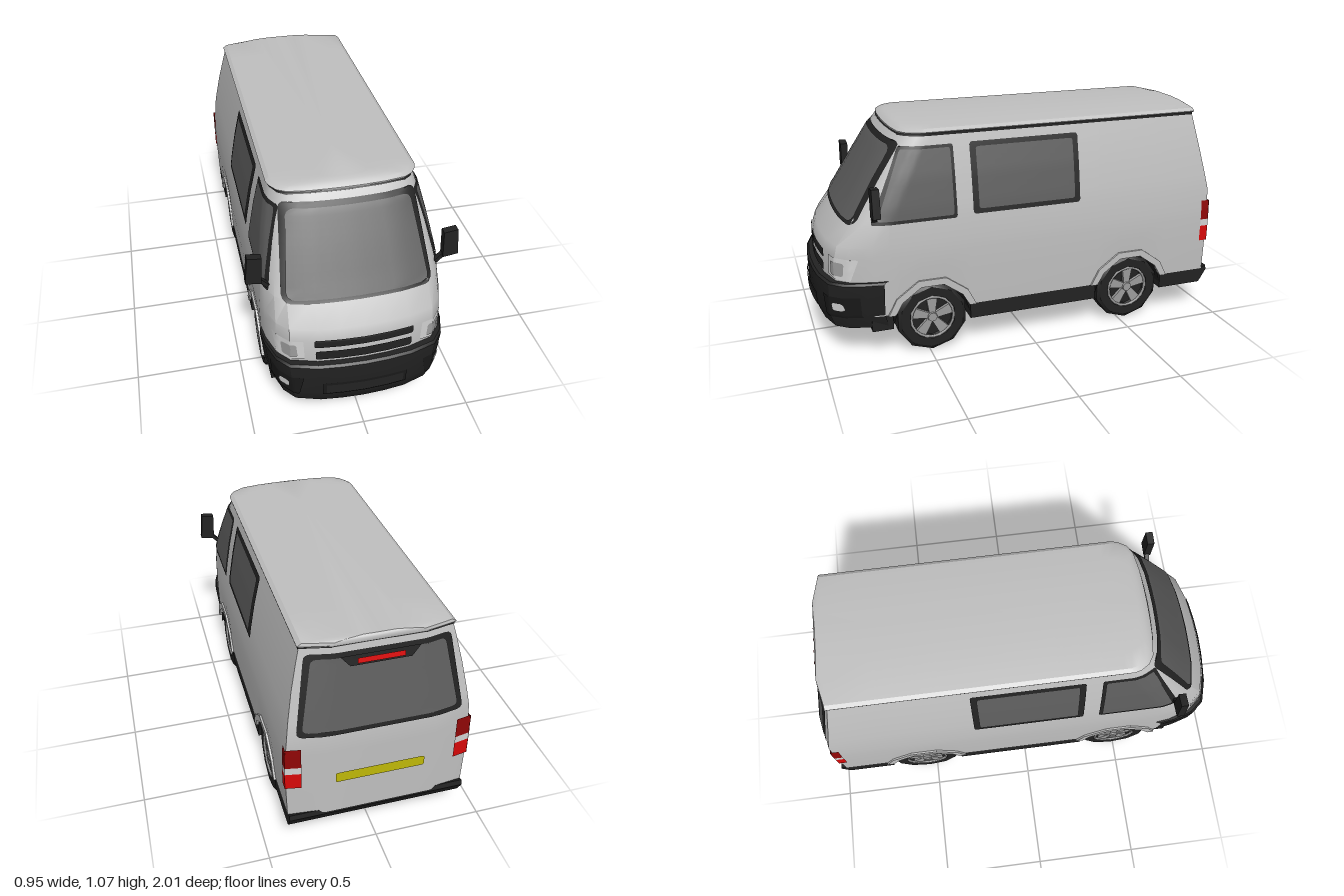
import * as THREE from 'three';
import { toCreasedNormals } from 'three/addons/utils/BufferGeometryUtils.js';

const mat = (name, color) => new THREE.MeshStandardMaterial({ name, color, side: THREE.DoubleSide });
const lerp = THREE.MathUtils.lerp;

// Levels: [height, half width, front z, rear z, strength of nose curve]
const BODY = [
  [0.21, 0.405, 0.965, -1, 1], [0.38, 0.41, 0.965, -1, 1], [0.5, 0.41, 0.963, -1, 1],
  [0.55, 0.408, 0.945, -1, 0.9], [0.65, 0.4, 0.86, -1, 0.65], [0.72, 0.39, 0.815, -0.985, 0.6],
  [0.85, 0.367, 0.735, -0.957, 0.57], [0.97, 0.34, 0.66, -0.932, 0.53], [1.03, 0.325, 0.615, -0.92, 0.5],
];
const GASKET = [[1.025, 0.329, 0.618, -0.92, 0.5], [1.037, 0.329, 0.61, -0.92, 0.5]];
const ROOF = [
  [1.035, 0.326, 0.61, -0.925, 0.4], [1.042, 0.334, 0.61, -0.928, 0.4],
  [1.055, 0.315, 0.595, -0.928, 0.4], [1.062, 0.24, 0.58, -0.925, 0.4], [1.068, 0.12, 0.56, -0.92, 0.3],
];
const BUMPER = [
  [0.125, 0.335, 0.95, 0, 0.93], [0.15, 0.385, 0.975, 0, 0.97], [0.22, 0.402, 1, 0, 1],
  [0.375, 0.42, 1, 0, 1], [0.385, 0.416, 0.99, 0, 1], [0.387, 0.39, 0.93, 0, 1],
];
// Plan curve of nose and tail: set-back against the fraction of half width
const NOSE = [[0, 0], [0.25, 0.004], [0.5, 0.015], [0.78, 0.05], [0.9, 0.11], [0.975, 0.21], [1, 0.29]];
const TAIL = [[0, 0], [0.6, 0], [1, 0.03]];
const WHEEL_Z = [0.485, -0.54], WHEEL_Y = 0.165, ARCH = 0.185;

function interp(table, v, a = 0, b = 1) {
  let i = 1;
  while (i < table.length - 1 && v > table[i][a]) i++;
  const p = table[i - 1], q = table[i];
  return lerp(p[b], q[b], THREE.MathUtils.clamp((v - p[a]) / (q[a] - p[a]), 0, 1));
}
const at = (levels, y) => [1, 2, 3, 4].map((c) => interp(levels, y, 0, c));

// Projections on to the shell
const onFront = (levels, gap) => (x, y) => {
  const [w, f, , k] = at(levels, y);
  return [x, y, f - k * interp(NOSE, Math.abs(x) / w) + gap];
};
const onRear = (gap) => (x, y) => {
  const [w, , r] = at(BODY, y);
  return [x, y, r + interp(TAIL, Math.abs(x) / w) - gap];
};
const onSide = (s, gap) => (z, y) => {
  const [w, f, , k] = at(BODY, y);
  return [s * (w * interp(NOSE, (f - z) / k, 1, 0) + gap), y, z];
};

function build(points, index) {
  const g = new THREE.BufferGeometry();
  g.setAttribute('position', new THREE.Float32BufferAttribute(points.flat(), 3));
  g.setIndex(index);
  return toCreasedNormals(g, 0.5);
}

// Thin four-cornered plate with rounded corners, laid on a projection
function patch([bl, br, tr, tl], project, ru = 0.08, rv = 0.12) {
  const pts = [], idx = [], N = 16;
  for (let j = 0; j <= N; j++) {
    const v = Math.sin((j / N - 0.5) * Math.PI);
    const d = Math.max(0, (Math.abs(v) - 1 + rv) / rv);
    const e = 1 - ru * (1 - Math.sqrt(Math.max(0, 1 - d * d)));
    for (let i = 0; i <= N; i++) {
      const u = ((i / N) * 2 - 1) * e * 0.5 + 0.5, h = v * 0.5 + 0.5;
      pts.push(project(...[0, 1].map((c) => lerp(lerp(bl[c], br[c], u), lerp(tl[c], tr[c], u), h))));
      if (i < N && j < N) {
        const a = j * (N + 1) + i, b = a + N + 1;
        idx.push(a, a + 1, b + 1, a, b + 1, b);
      }
    }
  }
  return build(pts, idx);
}

// Wheel opening corners, as [z, height of the lower edge]
const archNodes = WHEEL_Z.flatMap((zc) => [0, 36, 72, 108, 144, 180].map((d) => {
  const a = THREE.MathUtils.degToRad(d);
  return [zc + ARCH * Math.cos(a), Math.max(0.21, WHEEL_Y + ARCH * Math.sin(a))];
}));

// Horizontal cross-sections joined upwards; noseOnly leaves the back open
function loft(levels, { noseOnly = false, arches = false } = {}) {
  const rings = levels.map(([y, w, f, r, k]) => {
    const half = NOSE.map(([t, d]) => [t * w, y, f - k * d]);
    if (!noseOnly) {
      const z0 = f - 0.29 * k, z1 = r + 0.03;
      for (const [z, edge] of archNodes) {
        const low = arches && y < 0.5 ? edge + (y - 0.21) * (0.5 - edge) / 0.29 : y;
        half.push([w, low, lerp(z0, z1, (0.675 - z) / 1.645)]);
      }
      half.push([w, y, z1], [0.6 * w, y, r], [0, y, r]);
    }
    const other = half.slice(1, noseOnly ? undefined : -1).reverse().map(([x, b, z]) => [-x, b, z]);
    return noseOnly ? [...other, ...half] : [...half, ...other];
  });
  const n = rings[0].length, pts = rings.flat(), idx = [], last = (levels.length - 1) * n;
  for (let j = 0; j < levels.length - 1; j++) for (let i = 0; i < (noseOnly ? n - 1 : n); i++) {
    const a = j * n + i, b = j * n + (i + 1) % n;
    idx.push(a, b, b + n, a, b + n, a + n);
  }
  const top = pts.push([0, levels.at(-1)[0], 0.3]) - 1, bottom = pts.push([0, levels[0][0], 0.6]) - 1;
  for (let i = 0; i < n; i++) {
    const m = (i + 1) % n;
    if (!noseOnly) idx.push(top, last + i, last + m);
    if (!arches) idx.push(bottom, m, i);
  }
  return build(pts, idx);
}

const rect = (a0, a1, b0, b1) => [[a0, b0], [a1, b0], [a1, b1], [a0, b1]];
const flip = (c, s) => c.map(([a, b]) => [a * s, b]);
const poly = (pts) => new THREE.Shape(pts.map((p) => new THREE.Vector2(...p)));

export function createModel() {
  const van = new THREE.Group();
  van.name = 'van';
  const paint = mat('silver paint', 0xc0c0c0), trim = mat('black trim', 0x222222);
  const recess = mat('deep black', 0x191919), glass = mat('grey glass', 0x5c5c5c);
  const alloy = mat('wheel alloy', 0x9c9c9c), lens = mat('clear lens', 0xd2d2d2);
  const red = mat('red lamp', 0xd80808), darkRed = mat('dark red lamp', 0x900606);
  const yellow = mat('yellow plate', 0xc0b808);
  const add = (name, geo, material, parent = van) => {
    const m = new THREE.Mesh(geo, material);
    m.name = name;
    parent.add(m);
    return m;
  };
  const box = (name, x, y, z, px, py, pz, m, parent) => {
    const b = add(name, new THREE.BoxGeometry(x, y, z), m, parent);
    b.position.set(px, py, pz);
    return b;
  };

  // Shell, roof and front bumper
  add('body', loft(BODY, { arches: true }), paint);
  add('roofGasket', loft(GASKET), trim);
  add('roof', loft(ROOF), paint);
  add('frontBumper', loft(BUMPER, { noseOnly: true }), trim);

  // Floor, sills and rear bumper
  box('floor', 0.52, 0.24, 1.55, 0, 0.25, -0.03, trim);
  box('sill', 0.805, 0.08, 0.655, 0, 0.172, -0.0275, trim);
  box('frontSill', 0.77, 0.15, 0.1, 0, 0.205, 0.72, trim);
  const rear = new THREE.ExtrudeGeometry(
    poly([[0.725, 0.135], [0.96, 0.135], [1, 0.2], [0.995, 0.225], [0.97, 0.212], [0.725, 0.212]]),
    { depth: 0.805, bevelEnabled: false });
  add('rearBumper', rear.rotateY(Math.PI / 2).translate(-0.4025, 0, 0), trim);

  // Windscreen, grille and number plate recess
  const front = (name, c, m, gap, levels = BODY, ru, rv) => add(name, patch(c, onFront(levels, gap), ru, rv), m);
  front('windscreenFrame', [[-0.337, 0.64], [0.337, 0.64], [0.3, 1.005], [-0.3, 1.005]], trim, 0.006, BODY, 0.12, 0.16);
  front('windscreen', [[-0.318, 0.655], [0.318, 0.655], [0.275, 0.985], [-0.275, 0.985]], glass, 0.011, BODY, 0.12, 0.16);
  front('upperGrille', rect(-0.22, 0.22, 0.47, 0.508), trim, 0.006, BODY, 0.03, 0.4);
  front('lowerGrille', rect(-0.215, 0.215, 0.402, 0.448), trim, 0.006, BODY, 0.04, 0.5);
  front('plateRecess', rect(-0.19, 0.19, 0.215, 0.283), recess, 0.004, BUMPER, 0, 0.01);
  front('plateMount', rect(-0.175, 0.175, 0.225, 0.273), trim, 0.007, BUMPER, 0, 0.01);

  // Rear window, high brake lamp and number plate
  const back = (name, c, m, gap, ru, rv) => add(name, patch(c, onRear(gap), ru, rv), m);
  back('rearWindowFrame', [[-0.365, 0.65], [0.365, 0.65], [0.31, 1.005], [-0.31, 1.005]], trim, 0.004);
  back('rearWindow', [[-0.34, 0.672], [0.34, 0.672], [0.285, 0.985], [-0.285, 0.985]], glass, 0.008);
  back('brakeLampHousing', [[-0.13, 0.945], [0.13, 0.945], [0.17, 0.99], [-0.17, 0.99]], trim, 0.012, 0, 0.1);
  back('brakeLamp', rect(-0.1, 0.1, 0.955, 0.978), red, 0.017, 0, 0.1);
  back('rearPlate', rect(-0.2, 0.2, 0.385, 0.437), yellow, 0.006, 0.05, 0.4);

  for (const s of [1, -1]) {
    // Side windows
    const side = (name, c, m, gap, ru, rv) => add(name, patch(c, onSide(s, gap), ru, rv), m);
    side('cabWindowFrame', [[0.755, 0.652], [0.355, 0.652], [0.355, 0.985], [0.6, 0.985]], trim, 0.004, 0.06, 0.08);
    side('cabWindow', [[0.725, 0.668], [0.37, 0.668], [0.37, 0.972], [0.595, 0.972]], glass, 0.008, 0.06, 0.08);
    side('sideWindowFrame', rect(0.278, -0.258, 0.66, 0.987), trim, 0.004, 0.05, 0.08);
    side('sideWindow', rect(0.25, -0.23, 0.683, 0.965), glass, 0.008, 0.05, 0.08);

    // Headlamps and fog lamps
    front('headlamp', flip([[0.26, 0.402], [0.37, 0.39], [0.382, 0.495], [0.265, 0.5]], s), lens, 0.004, BODY, 0.1, 0.1);
    front('headlampReflector', flip([[0.29, 0.415], [0.35, 0.41], [0.355, 0.475], [0.295, 0.48]], s), alloy, 0.008, BODY, 0.3, 0.3);
    front('fogRecess', flip([[0.29, 0.21], [0.385, 0.21], [0.395, 0.315], [0.27, 0.315]], s), recess, 0.004, BUMPER, 0, 0.01);
    front('fogLamp', flip(rect(0.333, 0.369, 0.247, 0.285), s), lens, 0.009, BUMPER, 0.5, 0.5);

    // Tail lamps wrap the rear corners
    for (const [name, y0, y1, m] of [['lowerTailLamp', 0.375, 0.455, red], ['reverseLamp', 0.455, 0.49, lens], ['upperTailLamp', 0.49, 0.59, darkRed]]) {
      back(name, flip(rect(0.345, 0.415, y0, y1), s), m, 0.006, 0, 0.01);
      side(name + 'Side', rect(-0.935, -0.978, y0, y1), m, 0.005, 0, 0.01);
    }

    // Mirrors
    const shell = new THREE.ExtrudeGeometry(poly(flip([[0.405, 0.7], [0.475, 0.71], [0.463, 0.843], [0.4, 0.835]], s)),
      { depth: 0.035, bevelEnabled: false });
    add('mirror', shell.translate(0, 0, 0.72), trim);
    box('mirrorArm', 0.06, 0.018, 0.022, s * 0.398, 0.695, 0.735, trim).rotation.z = s * 0.8;

    for (const zc of WHEEL_Z) {
      // Arch flare and the dark well inside it
      const ring = [[0.212, 0, 180], [0.178, 180, 0]].flatMap(([r, from, to]) => [0, 1, 2, 3, 4, 5].map((i) => {
        const a = THREE.MathUtils.degToRad(lerp(from, to, i / 5));
        return [r * Math.cos(a), Math.max(0.045, r * Math.sin(a))];
      }));
      const flare = new THREE.ExtrudeGeometry(poly(ring), { depth: 0.018, bevelEnabled: false });
      add('wheelArch', flare.rotateY(Math.PI / 2).translate(s > 0 ? 0.398 : -0.416, WHEEL_Y, zc), paint);
      const well = new THREE.CylinderGeometry(ARCH, ARCH, 0.16, 5, 1, true, 0, Math.PI);
      add('wheelWell', well.rotateZ(Math.PI / 2).translate(s * 0.325, WHEEL_Y, zc), recess);

      // Wheel: ten-sided tyre, rim, five spokes and hub
      const wheel = new THREE.Group();
      wheel.name = 'wheel';
      wheel.position.set(s * 0.328, WHEEL_Y, zc);
      wheel.rotation.y = s > 0 ? 0 : Math.PI;
      van.add(wheel);
      const profile = [[0, -0.068], [0.15, -0.068], [0.172, -0.055], [0.172, 0.055], [0.155, 0.067], [0.112, 0.067], [0.1, 0.045], [0, 0.045]];
      const tyre = new THREE.LatheGeometry(profile.map((p) => new THREE.Vector2(...p)), 10);
      tyre.rotateY(Math.PI / 10).rotateZ(-Math.PI / 2);
      add('tyre', toCreasedNormals(tyre, 0.5), trim, wheel);
      add('rim', new THREE.TorusGeometry(0.103, 0.007, 5, 20).rotateY(Math.PI / 2).translate(0.063, 0, 0), alloy, wheel);
      const spoke = poly([[-0.014, 0.015], [0.014, 0.015], [0.027, 0.1], [-0.027, 0.1]]);
      for (let i = 0; i < 5; i++) {
        const g = new THREE.ExtrudeGeometry(spoke, { depth: 0.016, bevelEnabled: false });
        add('spoke', g.rotateZ(i * Math.PI * 0.4).rotateY(Math.PI / 2).translate(0.045, 0, 0), alloy, wheel);
      }
      add('hub', new THREE.CylinderGeometry(0.022, 0.028, 0.028, 10).rotateZ(-Math.PI / 2).translate(0.056, 0, 0), alloy, wheel);
    }
  }
  return van;
}
